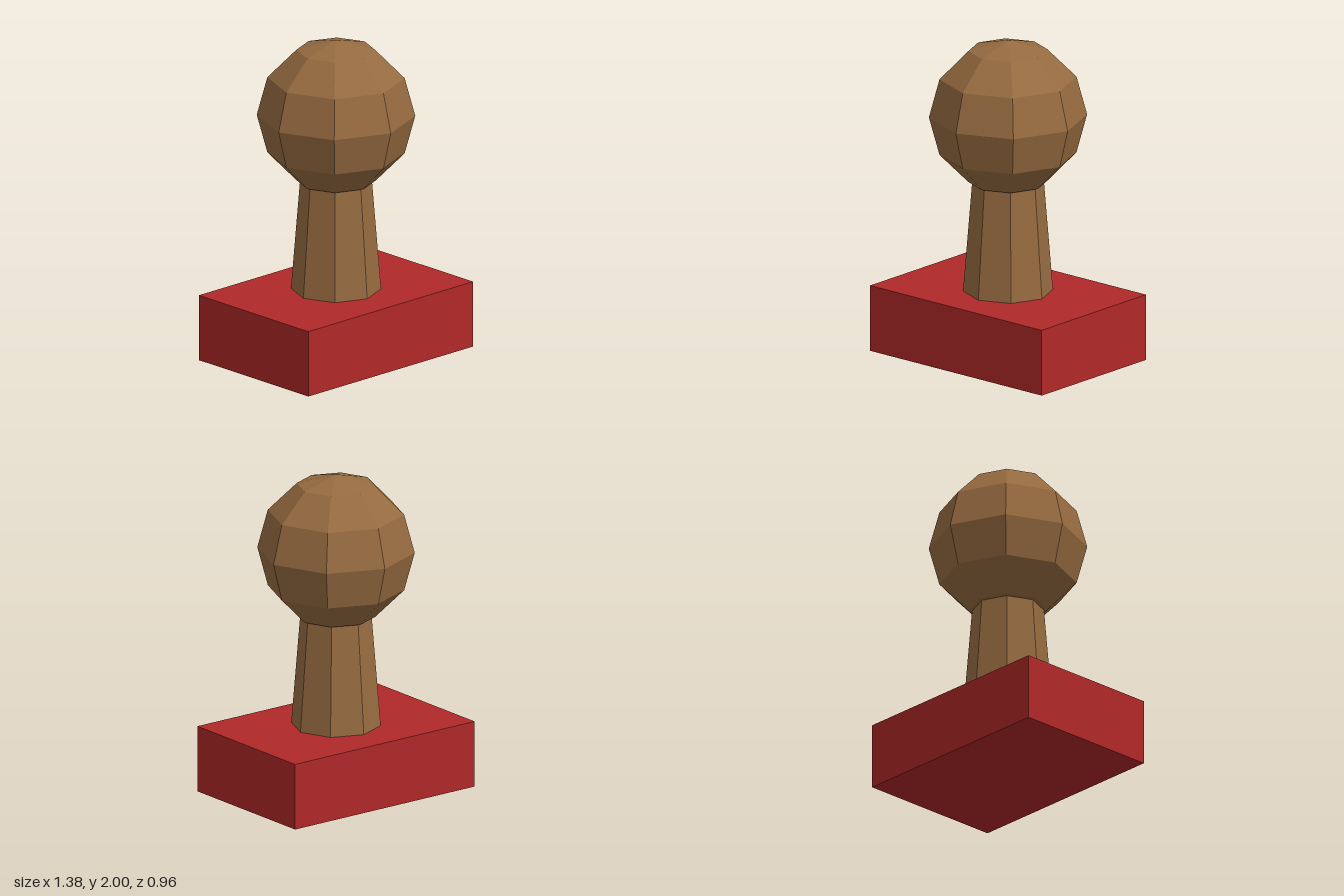
import * as THREE from 'three';

export function createModel() {
  const group = new THREE.Group();
  const wood = new THREE.MeshStandardMaterial({ color: 0x966b40, flatShading: true });
  const red = new THREE.MeshStandardMaterial({ color: 0xb02828, flatShading: true });

  const add = (name, geometry, material, y) => {
    const mesh = new THREE.Mesh(geometry, material);
    mesh.name = name;
    mesh.position.y = y;
    group.add(mesh);
  };

  // Rectangular block the handle stands on
  const baseHeight = 0.414;
  add('base', new THREE.BoxGeometry(1.38, baseHeight, 0.96), red, baseHeight / 2);

  // Tapered eight-sided neck, its top just inside the knob
  const neckTop = 1.1;
  const neckHeight = neckTop - baseHeight;
  add('neck', new THREE.CylinderGeometry(0.218, 0.273, neckHeight, 8), wood, baseHeight + neckHeight / 2);

  // Faceted round knob
  add('knob', new THREE.SphereGeometry(0.48, 8, 6), wood, 1.52);

  return group;
}
